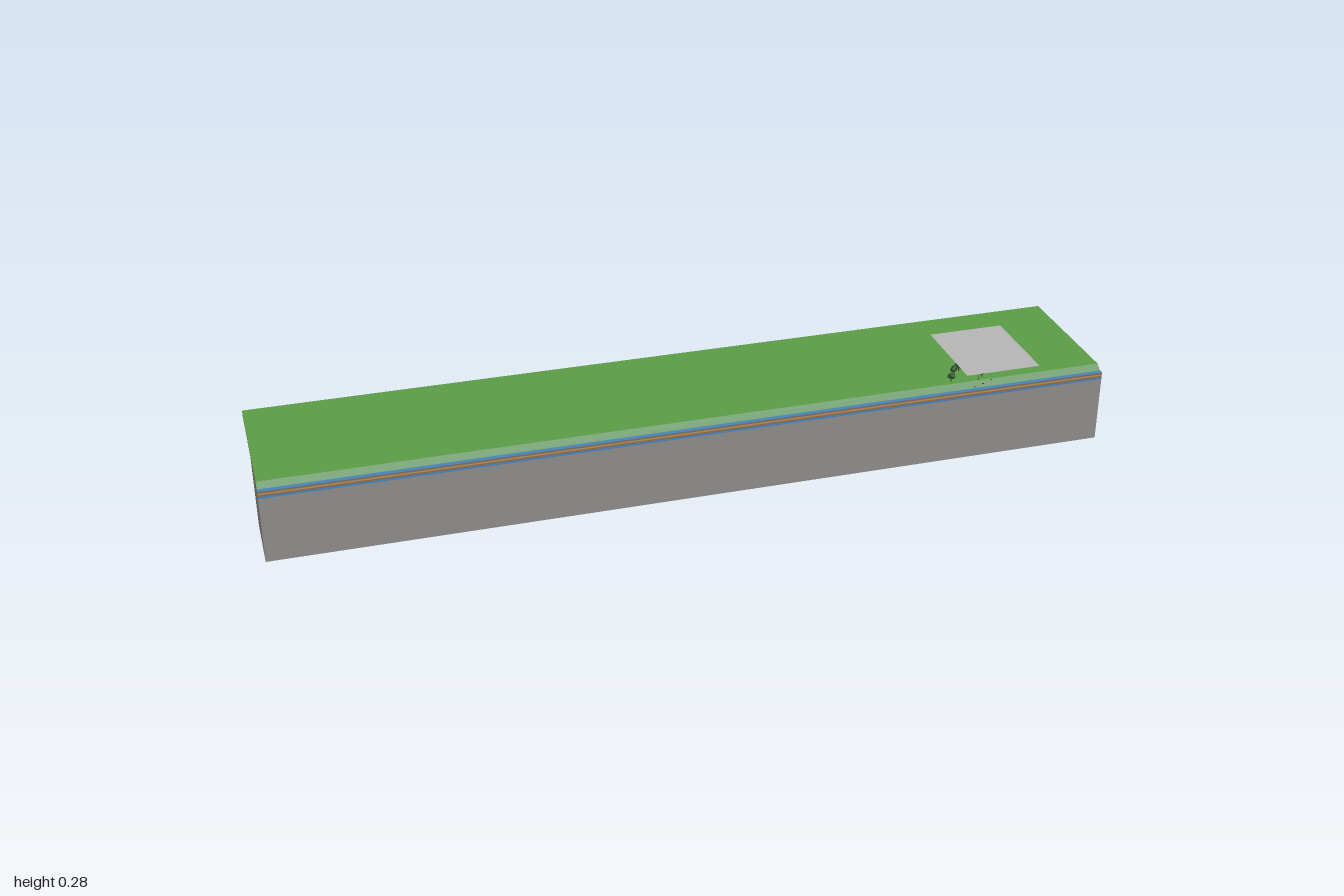
import * as THREE from 'three';

const mat = (name, color, side = THREE.FrontSide) => {
  const m = new THREE.MeshStandardMaterial({ color, side });
  m.name = name;
  return m;
};

export function createModel() {
  const model = new THREE.Group();
  model.name = 'terrainSection';
  const rock = mat('rock grey', 0x8c8a88);
  const soil = mat('soil brown', 0x8b6b4a);
  const sand = mat('sand tan', 0xb08c64);
  const water = mat('water blue', 0x4682b8);
  const grass = mat('grass green', 0x5a9a45);
  const bank = mat('bank green', 0x4a8548);
  const leaf = mat('leaf green', 0x28502a);
  const bark = mat('dark bark', 0x4a3524);
  const wall = mat('wall white', 0xd8d8d4);
  const cloud = mat('cover grey', 0xb4b4b4, THREE.DoubleSide);

  const add = (parent, name, geo, material, x = 0, y = 0, z = 0) => {
    const mesh = new THREE.Mesh(geo, material);
    mesh.name = name;
    mesh.position.set(x, y, z);
    parent.add(mesh);
    return mesh;
  };
  // Box given by its limits in x, y and z
  const block = (parent, name, m, x0, x1, y0, y1, z0, z1) =>
    add(parent, name, new THREE.BoxGeometry(x1 - x0, y1 - y0, z1 - z0), m,
      (x0 + x1) / 2, (y0 + y1) / 2, (z0 + z1) / 2);

  // Layers of ground, from the bedrock up
  [
    ['bedrock', rock, 0, 0.161],
    ['groundwater', water, 0.161, 0.166],
    ['lowerSoil', soil, 0.166, 0.17],
    ['sandLayer', sand, 0.17, 0.174],
    ['upperSoil', soil, 0.174, 0.178],
  ].forEach(([name, m, y0, y1]) => block(model, name, m, -1, 1, y0, y1, -0.03, 0.13));

  // Overhanging field with a thin grass top
  block(model, 'fieldSoil', soil, -1, 1, 0.178, 0.1885, -0.23, 0.104);
  block(model, 'fieldGrass', grass, -1, 1, 0.1885, 0.19, -0.23, 0.104);

  // Sloping bank along the front edge
  const slope = new THREE.Shape([
    new THREE.Vector2(-0.104, 0.178), new THREE.Vector2(-0.104, 0.19), new THREE.Vector2(-0.12, 0.178),
  ]);
  const slopeGeo = new THREE.ExtrudeGeometry(slope, { depth: 2, bevelEnabled: false });
  slopeGeo.rotateY(Math.PI / 2);
  add(model, 'bank', slopeGeo, bank, -1);

  // Strip of water at the foot of the bank
  block(model, 'stream', water, -1, 1, 0.178, 0.1788, 0.118, 0.13);

  // Small trees: trunk and three clumps of leaves
  const trunkGeo = new THREE.CylinderGeometry(0.0009, 0.0013, 0.014, 6);
  const clumpGeo = new THREE.IcosahedronGeometry(0.0062, 1);
  const trees = [
    [0.625, 0.09, 0.95], [0.645, 0.06, 1.1], [0.663, 0.045, 1], [0.705, 0.088, 0.9],
    [0.722, 0.037, 1.12], [0.738, 0.062, 1.05],
  ];
  trees.forEach(([x, z, s], i) => {
    const tree = new THREE.Group();
    tree.name = 'tree';
    tree.position.set(x, 0.19, z);
    tree.scale.setScalar(s);
    tree.rotation.y = i * 1.3;
    add(tree, 'trunk', trunkGeo, bark, 0, 0.007, 0);
    [[0, 0.0165, 0], [0.0035, 0.0135, 0.002], [-0.003, 0.0135, -0.0025]].forEach(
      ([cx, cy, cz]) => add(tree, 'foliage', clumpGeo, leaf, cx, cy, cz));
    model.add(tree);
  });

  // Little house with a flat roof
  const house = new THREE.Group();
  house.name = 'house';
  block(house, 'walls', wall, 0.676, 0.698, 0.19, 0.204, 0.052, 0.073);
  block(house, 'roof', soil, 0.673, 0.701, 0.204, 0.212, 0.049, 0.076);
  model.add(house);

  // Post at the top of the bank
  add(model, 'post', new THREE.CylinderGeometry(0.0006, 0.0006, 0.015, 6), bark, 0.69, 0.1975, 0.102);

  // Tiny birds over the water
  [[0.67, 0.188], [0.69, 0.194], [0.71, 0.201]].forEach(([x, y]) =>
    add(model, 'bird', new THREE.BoxGeometry(0.004, 0.001, 0.002), bark, x, y, 0.129));

  // Flat sheet floating above the trees
  const sheet = new THREE.PlaneGeometry(0.18, 0.22);
  sheet.rotateX(-Math.PI / 2);
  add(model, 'floatingSheet', sheet, cloud, 0.69, 0.278, 0.12);

  return model;
}
